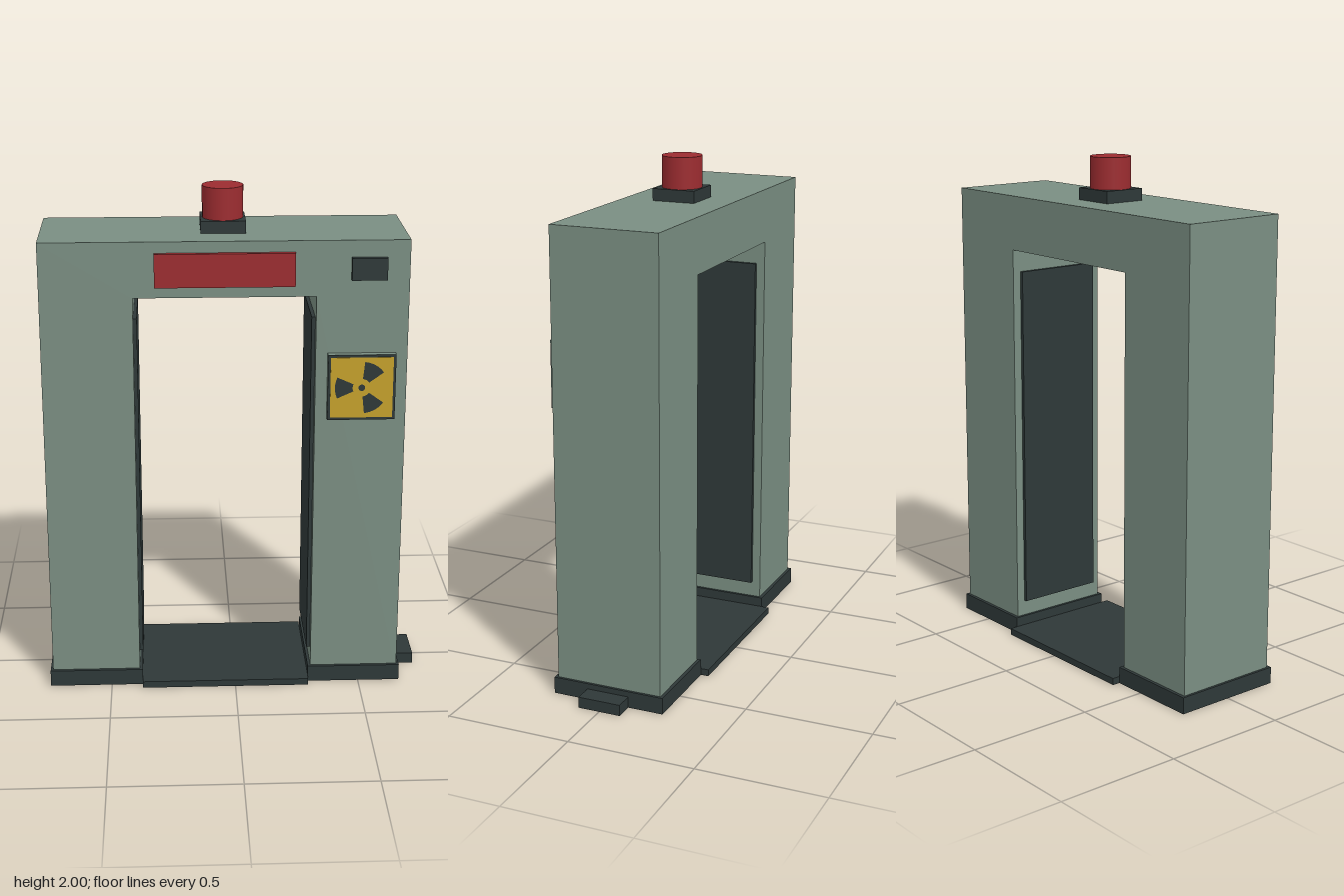
import * as THREE from 'three';

const mat = (name, color) => {
  const m = new THREE.MeshStandardMaterial({ color });
  m.name = name;
  return m;
};

export function createModel() {
  const green = mat('grey green', 0x7a8e82);
  const dark = mat('charcoal', 0x2e3838);
  const red = mat('signal red', 0x9c2c30);
  const yellow = mat('warning yellow', 0xc4a02c);

  const model = new THREE.Group();
  model.name = 'scannerGate';

  const add = (name, geometry, material, x = 0, y = 0, z = 0) => {
    const mesh = new THREE.Mesh(geometry, material);
    mesh.name = name;
    mesh.position.set(x, y, z);
    model.add(mesh);
    return mesh;
  };
  // Box given by its lower and upper limits
  const box = (name, material, [x0, x1], [y0, y1], [z0, z1]) =>
    add(name, new THREE.BoxGeometry(x1 - x0, y1 - y0, z1 - z0), material,
      (x0 + x1) / 2, (y0 + y1) / 2, (z0 + z1) / 2);

  const cx = -0.04;      // centre line of the gate
  const front = 0.215;   // front face of the frame

  // Frame: two posts and a lintel in one outline
  const outline = new THREE.Shape([
    [-0.697, 0.03], [-0.346, 0.03], [-0.346, 1.615], [0.346, 1.615],
    [0.346, 0.03], [0.697, 0.03], [0.697, 1.83], [-0.697, 1.83],
  ].map(([x, y]) => new THREE.Vector2(x, y)));
  add('frame', new THREE.ExtrudeGeometry(outline, { depth: 2 * front, bevelEnabled: false }),
    green, cx, 0, -front);

  // Feet and inner detector panels, mirrored about the centre line
  for (const [side, s] of [['left', 1], ['right', -1]]) {
    const span = (a, b) => [cx + s * a, cx + s * b].sort((p, q) => p - q);
    box(side + 'Foot', dark, span(0.335, 0.707), [0, 0.066], [-0.228, 0.228]);
    box(side + 'DetectorPanel', dark, span(0.332, 0.348), [0.13, 1.525], [-0.18, 0.18]);
  }

  // Floor plate and cable box
  box('floorPlate', dark, [-0.375, 0.295], [0, 0.027], [-0.26, 0.26]);
  box('cableBox', dark, [0.667, 0.743], [0, 0.044], [-0.086, 0.086]);

  // Beacon
  box('beaconBase', dark, [cx - 0.086, cx + 0.086], [1.83, 1.877], [-0.086, 0.086]);
  add('beaconLamp', new THREE.CylinderGeometry(0.079, 0.079, 0.123, 24), red, cx, 1.9385, 0);

  // Display and small readout on the lintel
  box('displayBar', red, [-0.304, 0.225], [1.658, 1.787], [front, 0.235]);
  box('readout', dark, [0.436, 0.57], [1.68, 1.765], [front, 0.237]);

  // Warning sign: green backing, dark border, yellow face
  const sx = 0.482, sy = 1.262;
  const plate = (name, material, half, z0, z1) =>
    box(name, material, [sx - half, sx + half], [sy - half, sy + half], [z0, z1]);
  plate('signBacking', green, 0.13, front, 0.241);
  plate('signBorder', dark, 0.13, 0.241, 0.243);
  plate('signFace', yellow, 0.12, 0.243, 0.245);

  // Trefoil: three blades and a hub
  const half = 0.42;
  for (let i = 0; i < 3; i++) {
    const a = Math.PI / 3 + i * Math.PI * 2 / 3;
    const blade = new THREE.Shape();
    blade.absarc(0, 0, 0.103, a - half, a + half, false);
    blade.absarc(0, 0, 0.035, a + half, a - half, true);
    add('trefoilBlade' + (i + 1), new THREE.ShapeGeometry(blade, 10), dark, sx, sy, 0.2465);
  }
  add('trefoilHub', new THREE.CircleGeometry(0.013, 16), dark, sx, sy, 0.2465);

  return model;
}
